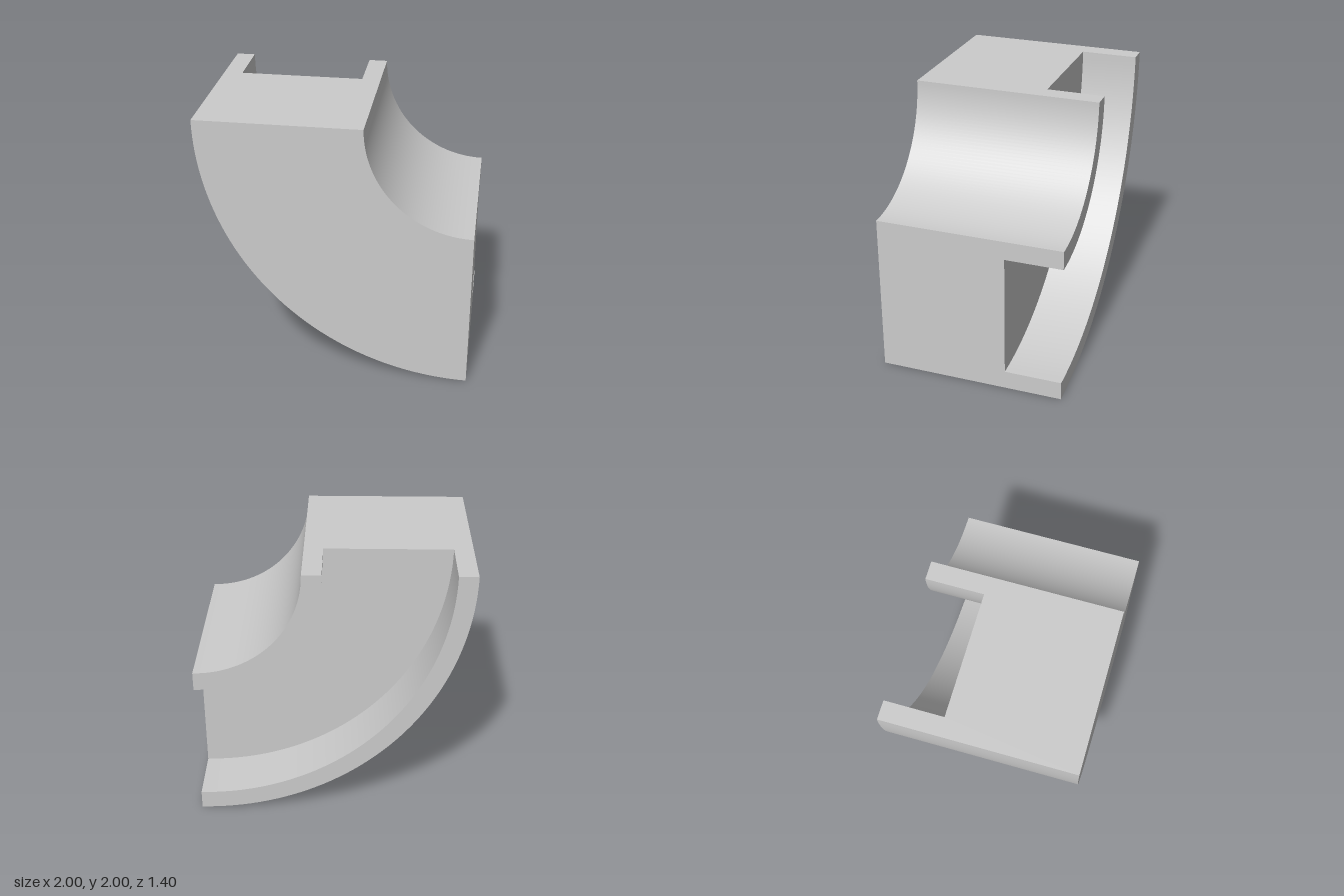
import * as THREE from 'three';
import { toCreasedNormals } from 'three/addons/utils/BufferGeometryUtils.js';

// Channel cross-section as (radius from the bend axis, z), counter-clockwise
const SECTION = [
  [0.79, -0.7], [0.93, -0.7], [0.93, -0.27], [1.86, -0.27],
  [1.86, -0.7], [2, -0.7], [2, 0.7], [0.79, 0.7],
];
const SEGMENTS = 48;

export function createModel() {
  const group = new THREE.Group();
  group.name = 'quarterBendChannel';
  const material = new THREE.MeshStandardMaterial({ color: 0xcccccc });
  const add = (name, geometry) => {
    const mesh = new THREE.Mesh(geometry, material);
    mesh.name = name;
    mesh.position.set(1, 2, 0); // the bend axis
    group.add(mesh);
  };

  // Closed section swept a quarter turn around the z axis
  const loop = [...SECTION, SECTION[0]].map(([r, z]) => new THREE.Vector2(r, z));
  const sweep = new THREE.LatheGeometry(loop, SEGMENTS, -Math.PI / 2, Math.PI / 2);
  sweep.rotateX(Math.PI / 2);
  add('bendBody', toCreasedNormals(sweep, Math.PI / 6));

  // Flat ends: the section drawn in a plane, then turned to face outwards
  const X = new THREE.Vector3(1, 0, 0);
  const Y = new THREE.Vector3(0, 1, 0);
  const Z = new THREE.Vector3(0, 0, 1);
  const addEnd = (name, sign, across, normal) => {
    const shape = new THREE.Shape(SECTION.map(([r, z]) => new THREE.Vector2(sign * r, z)));
    const cap = new THREE.ShapeGeometry(shape);
    cap.applyMatrix4(new THREE.Matrix4().makeBasis(across, Z, normal));
    add(name, cap);
  };
  addEnd('topEnd', 1, X.clone().negate(), Y);
  addEnd('sideEnd', -1, Y, X);

  return group;
}
